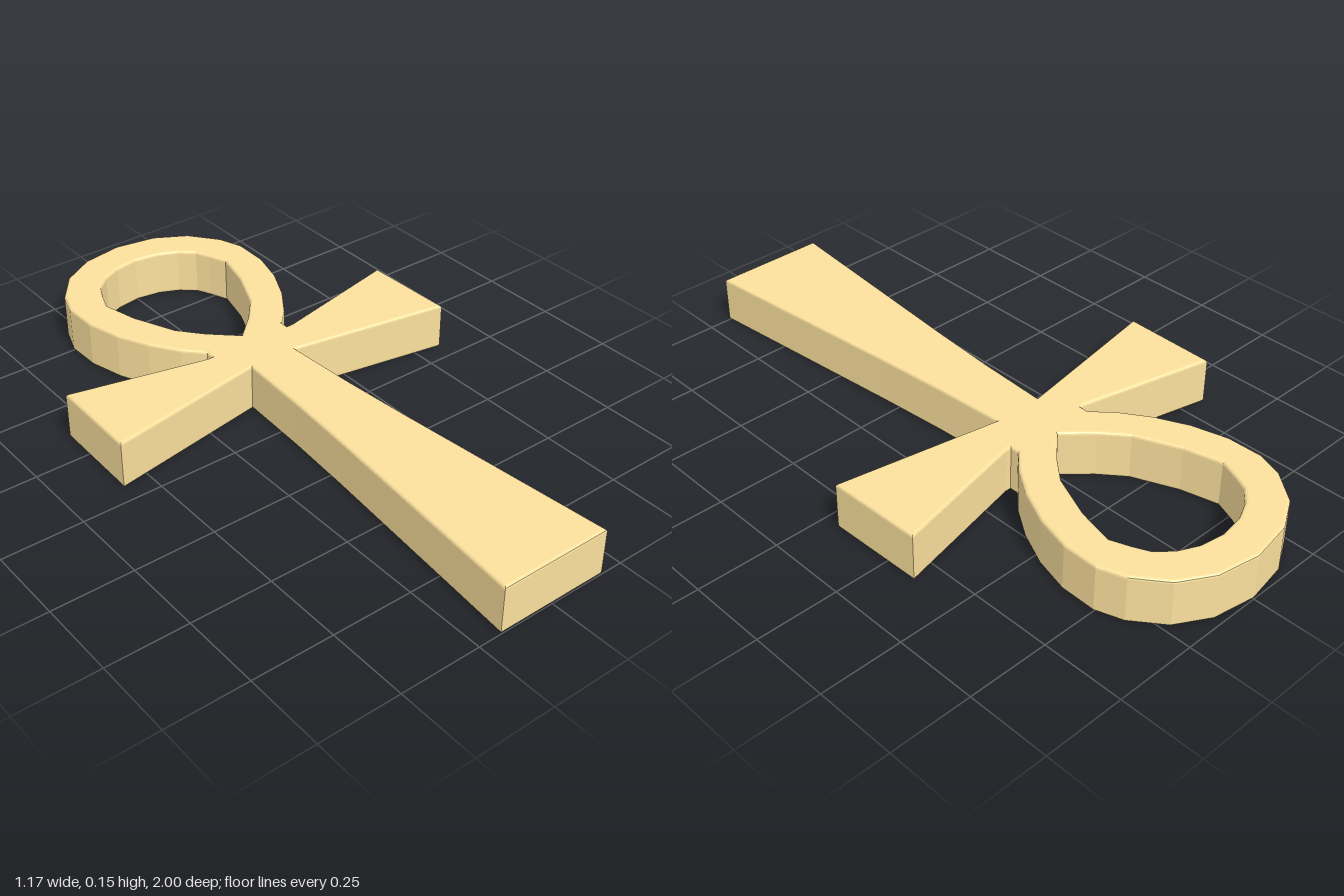
import * as THREE from 'three';

// Right halves of the outlines as [x, z], running from back to front
const OUTER = [
  [0, -1], [0.13, -0.978], [0.23, -0.92], [0.3, -0.83], [0.328, -0.75], [0.326, -0.64],
  [0.297, -0.53], [0.25, -0.43], [0.193, -0.345], [0.138, -0.287], [0.138, -0.26], [0.155, -0.26],
  [0.578, -0.355], [0.585, -0.057], [0.08, -0.145], [0.093, 0.08], [0.111, 0.3], [0.178, 1],
];
const HOLE = [
  [0, -0.885], [0.077, -0.873], [0.137, -0.845], [0.182, -0.805], [0.203, -0.76],
  [0.226, -0.7], [0.198, -0.585], [0.14, -0.45], [0.08, -0.378], [0, -0.303],
];

// Closes a half outline by mirroring it across x = 0; shape y is -z
function mirrored(half) {
  const left = half.filter(([x]) => x > 0).reverse().map(([x, z]) => [-x, z]);
  return [...half, ...left].map(([x, z]) => new THREE.Vector2(x, -z));
}

export function createModel() {
  const group = new THREE.Group();
  group.name = 'loopedCross';

  const height = 0.15;
  const bevel = 0.009;
  const shape = new THREE.Shape(mirrored(OUTER));
  // The hole runs the opposite way round so its walls face inward
  shape.holes.push(new THREE.Path(mirrored(HOLE).reverse()));

  // One slab with a slim rounded edge, laid flat on the ground
  const geometry = new THREE.ExtrudeGeometry(shape, {
    depth: height - 2 * bevel,
    bevelEnabled: true,
    bevelThickness: bevel,
    bevelSize: bevel,
    bevelOffset: -bevel,
    bevelSegments: 3,
  });
  geometry.translate(0, 0, bevel);
  geometry.rotateX(-Math.PI / 2);

  const material = new THREE.MeshStandardMaterial({ color: 0xfbe09d, flatShading: true });
  const body = new THREE.Mesh(geometry, material);
  body.name = 'crossBody';
  group.add(body);
  return group;
}
